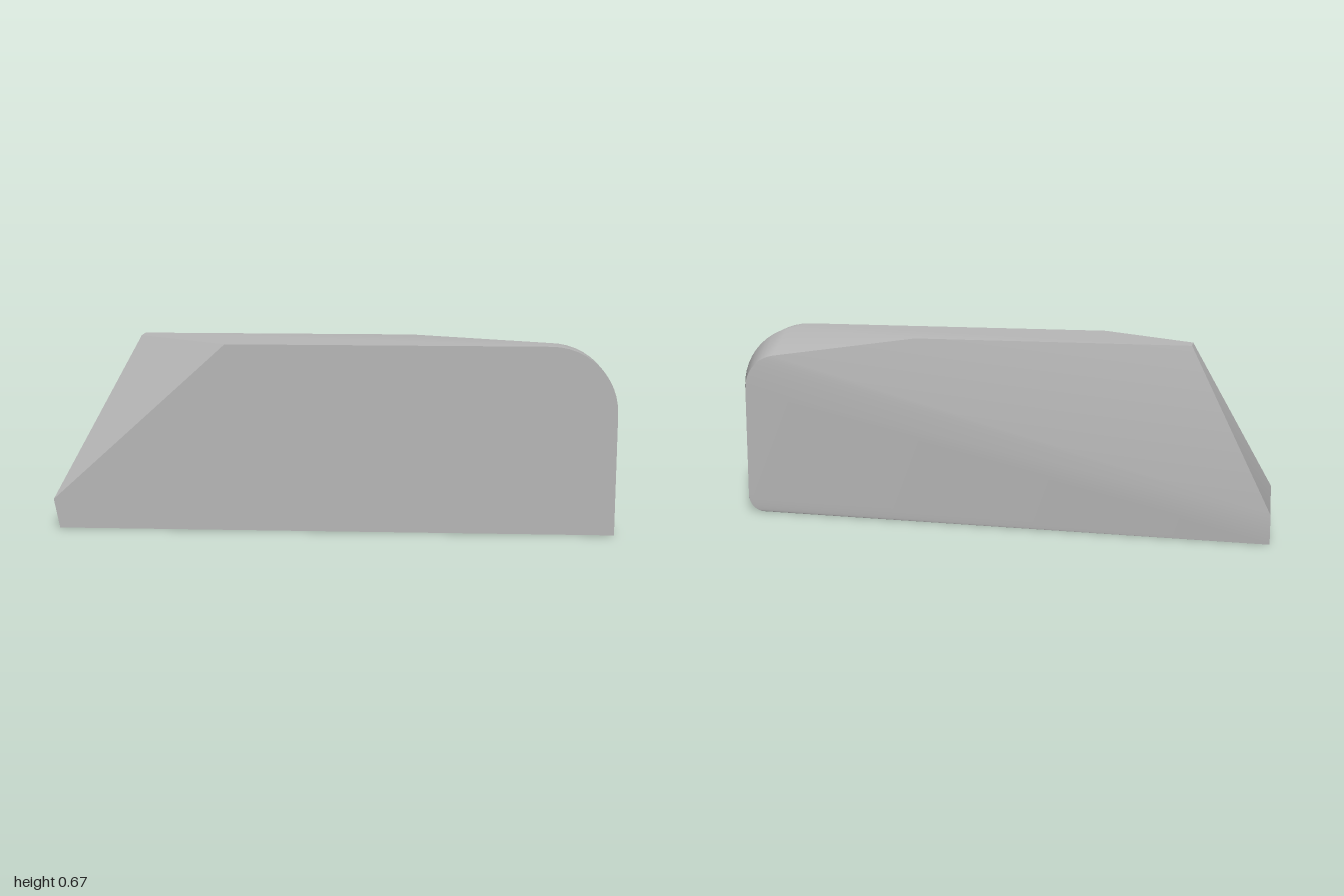
import * as THREE from 'three';
import { ConvexGeometry } from 'three/addons/geometries/ConvexGeometry.js';
import { toCreasedNormals } from 'three/addons/utils/BufferGeometryUtils.js';

const FRONT = 0.215, SHOULDER = 0.115, BACK = -0.095, TAIL = -0.215, TOP = 0.67;

// Points along an elliptical quarter arc in a plane of constant z
function arc(cx, cy, rx, ry, z, from, to, steps = 12) {
  return Array.from({ length: steps + 1 }, (_, i) => {
    const a = from + (to - from) * i / steps;
    return new THREE.Vector3(cx + rx * Math.cos(a), cy + ry * Math.sin(a), z);
  });
}

export function createModel() {
  const group = new THREE.Group();
  group.name = 'wedgeBlock';
  const grey = new THREE.MeshStandardMaterial({ color: 0xb8b8b8 });
  grey.name = 'grey';
  const p = (x, y, z) => new THREE.Vector3(x, y, z);

  const points = [
    // chamfered low end
    p(-0.98, 0, FRONT), p(-1, 0.105, FRONT), p(-1, 0, TAIL), p(-1, 0.105, TAIL),
    // top edges
    p(-0.375, TOP, FRONT), p(-0.71, TOP, -0.018), p(-0.71, TOP, BACK), p(0.28, TOP, BACK),
    // square foot of the rounded end
    p(1, 0, FRONT), p(1, 0, SHOULDER),
    // large rounded shoulder, front and middle
    ...arc(0.765, 0.435, 0.235, 0.235, FRONT, 0, Math.PI / 2),
    ...arc(0.765, 0.435, 0.235, 0.235, SHOULDER, 0, Math.PI / 2),
    // tapered back of the rounded end, with small top and bottom radii
    ...arc(0.8, 0.465, 0.125, 0.128, BACK, 0, Math.PI / 2),
    ...arc(0.865, 0.06, 0.06, 0.06, BACK, -Math.PI / 2, 0, 8),
  ];

  const body = new THREE.Mesh(toCreasedNormals(new ConvexGeometry(points), 0.5), grey);
  body.name = 'body';
  group.add(body);
  return group;
}
